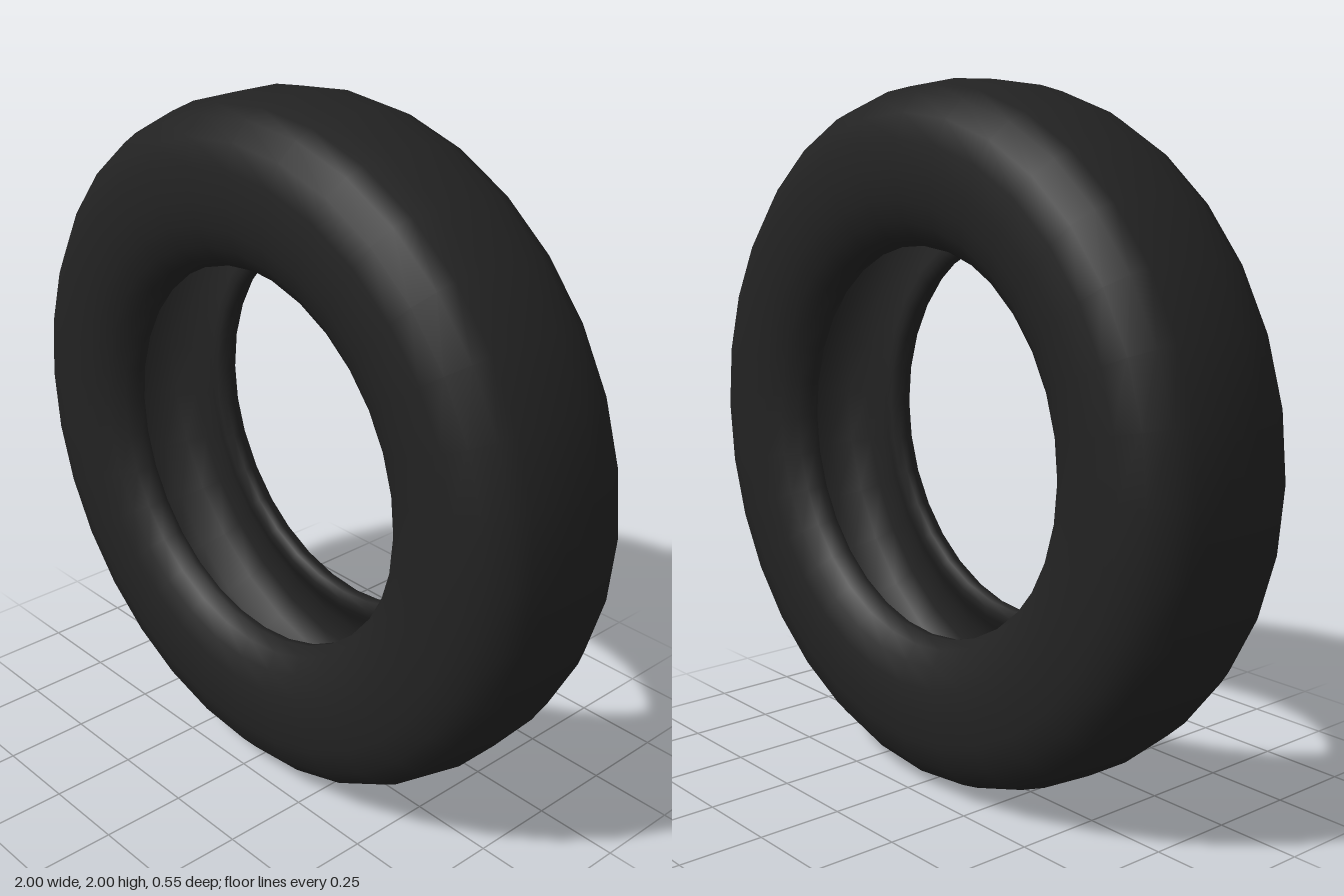
import * as THREE from 'three';

export function createModel() {
  const group = new THREE.Group();
  const rubber = new THREE.MeshStandardMaterial({ color: 0x222222 });
  rubber.name = 'black rubber';

  // Half cross-section as [radius, z]: tread, shoulder, sidewall, bead, hollow inside
  const half = [
    [1, 0], [1, 0.07], [0.984, 0.15], [0.962, 0.2], [0.91, 0.247], [0.84, 0.268], [0.75, 0.275],
    [0.68, 0.268], [0.62, 0.248], [0.575, 0.215], [0.553, 0.18],
    [0.556, 0.157], [0.577, 0.143], [0.605, 0.147], [0.65, 0.18],
    [0.72, 0.215], [0.8, 0.215], [0.87, 0.185], [0.915, 0.12], [0.93, 0.05],
  ];
  // Mirror the half to close the loop through the hollow
  const mirrored = half.map(([r, z]) => [r, -z]).reverse();
  const profile = [...half, ...mirrored].map(([r, z]) => new THREE.Vector2(r, z));

  const tyre = new THREE.Mesh(new THREE.LatheGeometry(profile, 32), rubber);
  tyre.name = 'tyre';
  tyre.rotation.x = Math.PI / 2; // axle along z
  tyre.position.y = 1;
  group.add(tyre);
  return group;
}
